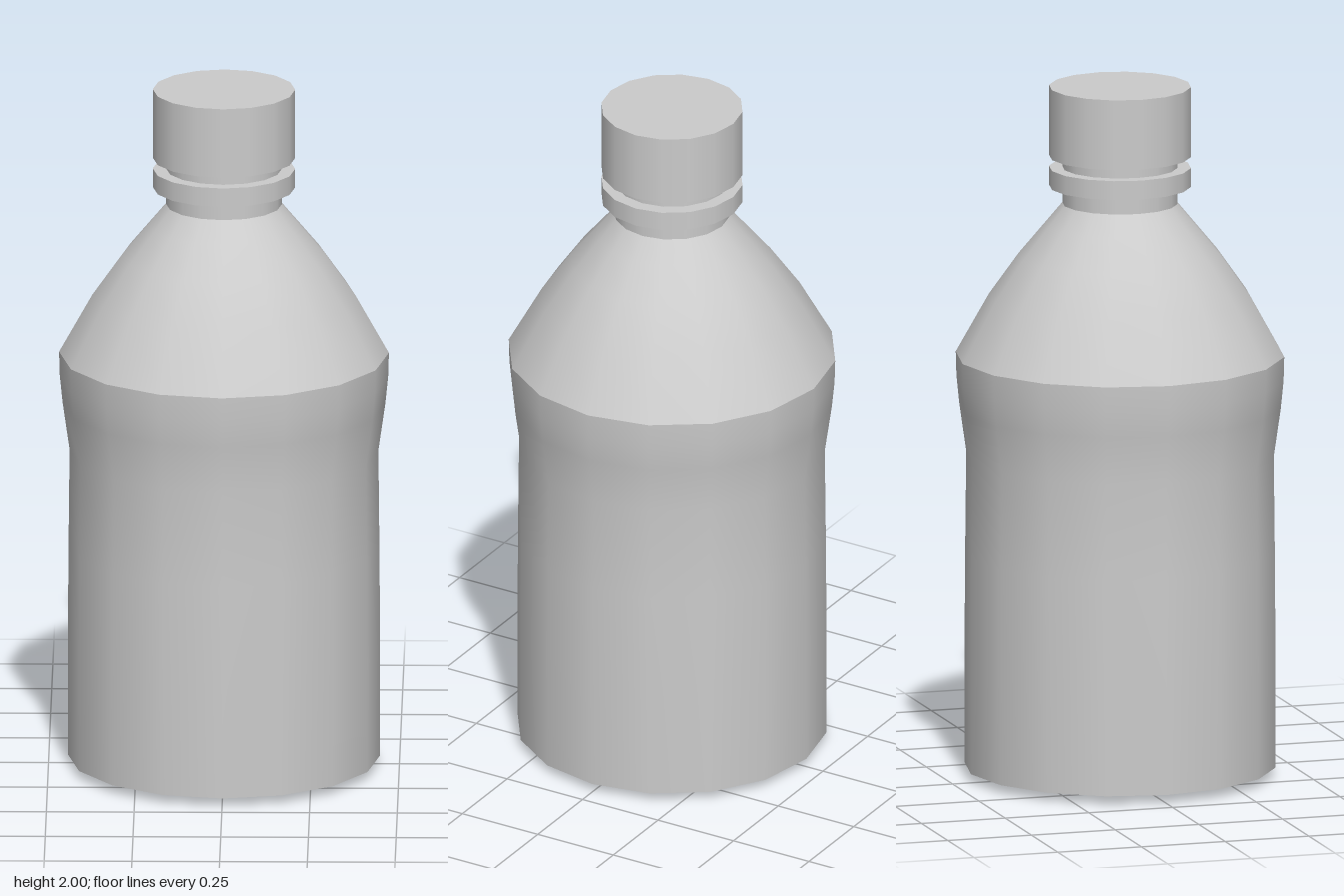
import * as THREE from 'three';

const SIDES = 16;

export function createModel() {
  const group = new THREE.Group();
  const material = new THREE.MeshStandardMaterial({ color: 0xcccccc, side: THREE.DoubleSide });

  // Each run of [radius, height] points is smooth; creases fall between runs.
  function turned(name, runs) {
    const part = new THREE.Group();
    part.name = name;
    runs.forEach((run) => {
      const points = run.map(([r, y]) => new THREE.Vector2(r, y));
      const mesh = new THREE.Mesh(new THREE.LatheGeometry(points, SIDES), material);
      mesh.name = name + 'Surface';
      part.add(mesh);
    });
    group.add(part);
  }

  // Split a profile so that every corner is sharp
  const sharp = (points) => points.slice(1).map((p, i) => [points[i], p]);

  // Slightly bulged base
  turned('base', [[[0, 0], [0.445, 0.025]]]);

  // Body with a gentle waist below the shoulder edge
  turned('body', [[
    [0.445, 0.025], [0.445, 0.35], [0.443, 0.65], [0.44, 0.93],
    [0.46, 1.07], [0.468, 1.15], [0.47, 1.22],
  ]]);

  // Sloping shoulder
  turned('shoulder', [[
    [0.47, 1.22], [0.375, 1.39], [0.29, 1.51], [0.215, 1.6], [0.165, 1.66],
  ]]);

  // Neck running up into the cap
  turned('neck', [[[0.165, 1.66], [0.165, 1.82]]]);

  // Collar ring
  turned('collarRing', sharp([[0.165, 1.71], [0.203, 1.71], [0.203, 1.765], [0.165, 1.765]]));

  // Screw cap
  turned('cap', sharp([[0.165, 1.797], [0.203, 1.797], [0.203, 2], [0, 2]]));

  return group;
}
